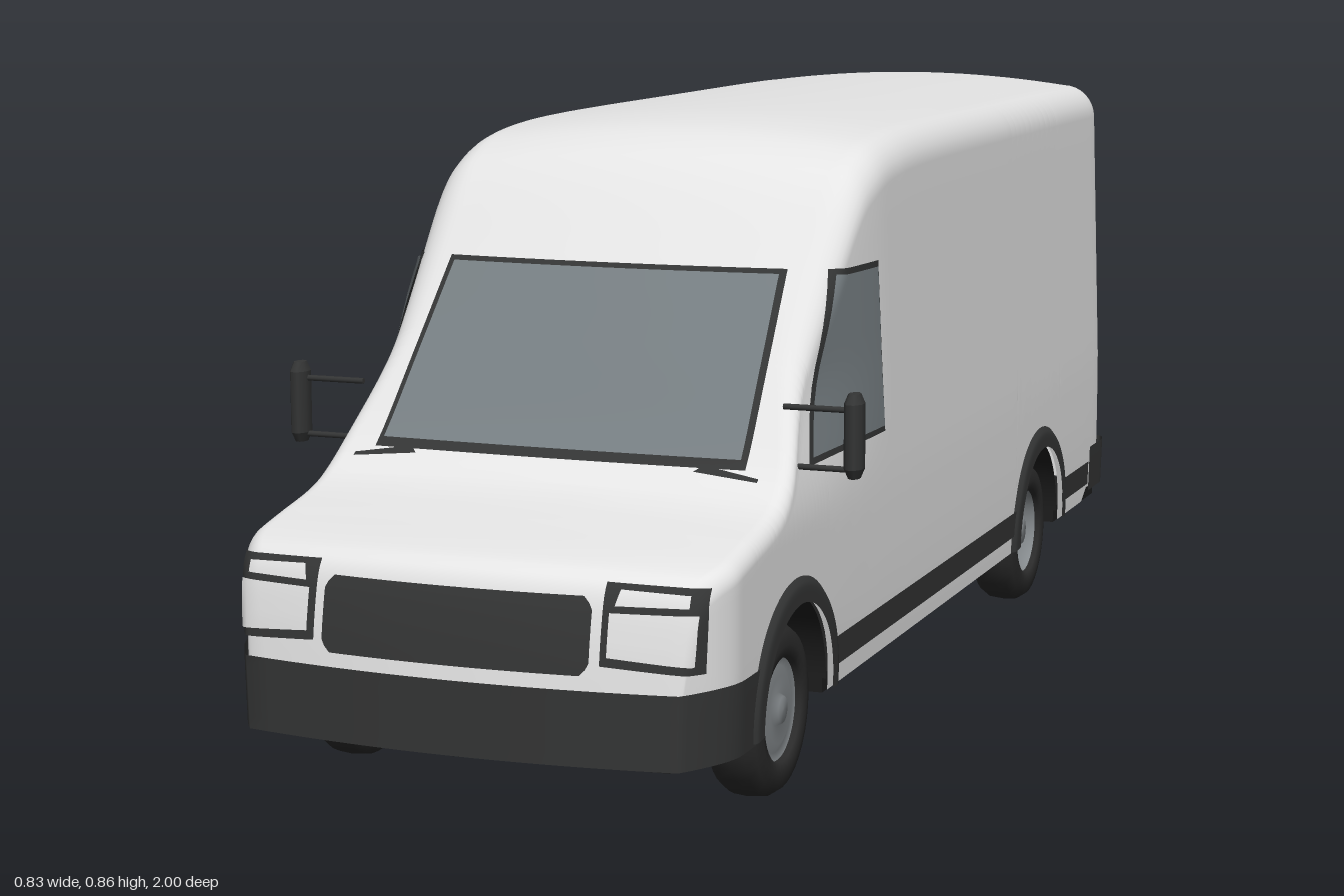
import * as THREE from 'three';

const { lerp, smoothstep: smooth } = THREE.MathUtils;
const mat = (name, color, side = THREE.FrontSide) => {
  const m = new THREE.MeshStandardMaterial({ color, side });
  m.name = name;
  return m;
};
const paint = mat('whitePaint', 0xe4e4e4, THREE.DoubleSide);
const trim = mat('darkTrim', 0x343535, THREE.DoubleSide);
const under = mat('underbodyBlack', 0x1d1d1d, THREE.DoubleSide);
const glass = mat('greyGlass', 0x767e82, THREE.DoubleSide);
const rubber = mat('tyreRubber', 0x2a2a2a);
const steel = mat('wheelSteel', 0x868b8e);
const red = mat('lampRed', 0x9c1a1a);

const WHEELS = [0.67, -0.555], ARCH_Y = 0.125, ARCH_R = 0.14;
const TAIL = -0.985, NOSE = 0.995;

// Centre line of roof, windscreen, bonnet and nose as (z, y)
const profile = new THREE.SplineCurve([
  [-0.985, 0.835], [-0.975, 0.848], [-0.95, 0.855], [-0.5, 0.856], [0, 0.855], [0.2, 0.845],
  [0.3, 0.82], [0.36, 0.78], [0.45, 0.68], [0.55, 0.56], [0.64, 0.452], [0.69, 0.41], [0.74, 0.39],
  [0.82, 0.374], [0.9, 0.36], [0.945, 0.348], [0.97, 0.325], [0.985, 0.27], [0.995, 0.2],
].map(p => new THREE.Vector2(...p))).getPoints(500);

function top(z) {
  let i = 1;
  while (i < profile.length - 1 && profile[i].x < z) i++;
  const a = profile[i - 1], b = profile[i];
  return lerp(a.y, b.y, THREE.MathUtils.clamp((z - a.x) / (b.x - a.x), 0, 1));
}

// Half width of the flank at a height and station
function flank(y, z) {
  let w = 0.338 - 0.035 * Math.max(0, y - 0.35) - 0.03 * Math.max(0, 0.2 - y);
  w -= 0.03 * smooth(z, 0.25, 0.62) * smooth(y, 0.36, 0.55);
  if (z > 0.88) w -= 0.047 * ((z - 0.88) / 0.12) ** 2;
  if (z < -0.95) w -= 0.008 * ((-0.95 - z) / 0.035) ** 2;
  return w;
}

// Cross-section values: crowned roof with rounded shoulders
function section(z) {
  const t = top(z), k = smooth(t, 0.4, 0.75);
  const crown = 0.008 + 0.01 * k, r = 0.025 + 0.03 * k;
  const yc = t - crown - r;
  return { t, crown, r, yc, w: flank(yc, z) };
}
function sideX(y, z) {
  const s = section(z);
  if (y <= s.yc) return flank(y, z);
  return s.w - s.r + Math.sqrt(Math.max(0, s.r ** 2 - (y - s.yc) ** 2));
}
function inside(x, y, z) {
  const s = section(z), inner = s.w - s.r;
  if (y <= s.yc) return x <= flank(y, z);
  return x < inner ? y <= s.t - s.crown * (x / inner) ** 2 : x <= sideX(y, z) && y <= s.yc + s.r;
}
// Bow the nose in plan
const point = (x, y, z) => new THREE.Vector3(x, y, z - 0.3 * x * x * smooth(z, 0.8, 1));
const onSide = (s, y, z) => point(s * sideX(y, z), y, z);
function onFront(x, y) {
  let a = 0.2, b = NOSE;
  for (let i = 0; i < 24; i++) {
    const m = (a + b) / 2;
    if (inside(Math.abs(x), y, m)) a = m; else b = m;
  }
  return point(x, y, a);
}

// Grid surface from f(u, v), pushed out along its own normals
function sheet(f, nu, nv, offset = 0) {
  const pos = [], idx = [];
  for (let j = 0; j <= nv; j++) for (let i = 0; i <= nu; i++) pos.push(...f(i / nu, j / nv).toArray());
  for (let j = 0; j < nv; j++) for (let i = 0; i < nu; i++) {
    const a = j * (nu + 1) + i, c = a + nu + 1;
    idx.push(a, a + 1, c + 1, a, c + 1, c);
  }
  const g = new THREE.BufferGeometry();
  g.setAttribute('position', new THREE.Float32BufferAttribute(pos, 3));
  g.setIndex(idx);
  g.computeVertexNormals();
  const p = g.attributes.position, n = g.attributes.normal;
  for (let i = 0; i < p.count && offset; i++)
    p.setXYZ(i, p.getX(i) + offset * n.getX(i), p.getY(i) + offset * n.getY(i), p.getZ(i) + offset * n.getZ(i));
  return g;
}
// Bilinear quad: bottom start, bottom end, top end, top start
const quad = (a, b, c, d) => (u, v) => [0, 1].map(i => lerp(lerp(a[i], b[i], u), lerp(d[i], c[i], u), v));
const frontSheet = (q, off, s = 1) => sheet((u, v) => {
  const [x, y] = q(s > 0 ? u : 1 - u, v);
  return onFront(s * x, y);
}, 24, 12, off);
const sideSheet = (q, off, s, nu = 16, nv = 10) => sheet((u, v) => {
  const [z, y] = q(s > 0 ? u : 1 - u, v);
  return onSide(s, y, z);
}, nu, nv, off);

function bottom(z) {
  let b = z < -0.87 ? 0.13 : 0.11;
  for (const w of WHEELS) {
    const d = ARCH_R ** 2 - (z - w) ** 2;
    if (d > 0) b = Math.max(b, ARCH_Y + Math.sqrt(d));
  }
  return b;
}
function ring(z) {
  const s = section(z), half = [], b = bottom(z), inner = s.w - s.r;
  for (let i = 0; i < 14; i++) { const y = lerp(b, s.yc, i / 14); half.push([flank(y, z), y]); }
  for (let i = 0; i <= 8; i++) {
    const a = i / 8 * Math.PI / 2;
    half.push([inner + s.r * Math.cos(a), s.yc + s.r * Math.sin(a)]);
  }
  for (let i = 9; i >= 0; i--) { const x = inner * i / 10; half.push([x, s.t - s.crown * (x / inner) ** 2]); }
  return [...half, ...half.slice(0, -1).reverse().map(([x, y]) => [-x, y])];
}

export function createModel() {
  const van = new THREE.Group();
  van.name = 'deliveryVan';
  const add = (name, geo, m, x = 0, y = 0, z = 0) => {
    const mesh = new THREE.Mesh(geo, m);
    mesh.name = name;
    mesh.position.set(x, y, z);
    van.add(mesh);
    return mesh;
  };

  // Body shell, with stations packed around the arches and nose
  const zs = [];
  for (let z = TAIL; z < 0.2; z += 0.03) zs.push(z);
  for (let z = 0.2; z < 0.94; z += 0.012) zs.push(z);
  for (let z = 0.94; z <= NOSE + 1e-6; z += 0.0025) zs.push(z);
  zs.push(-0.98, -0.975, -0.965);
  for (const w of WHEELS) {
    for (let i = 0; i <= 24; i++) zs.push(w + ARCH_R * Math.cos(i * Math.PI / 24));
    zs.push(w - ARCH_R - 0.0004, w + ARCH_R + 0.0004);
  }
  zs.sort((a, b) => a - b);
  const rings = zs.map(ring), n = rings[0].length - 1, m = zs.length - 1;
  add('bodyShell', sheet((u, v) => {
    const i = Math.round(v * m), p = rings[i][n - Math.round(u * n)];
    return point(p[0], p[1], zs[i]);
  }, n, m).scale(1, 1, 1), paint);
  const rear = new THREE.Shape(rings[0].map(p => new THREE.Vector2(...p)));
  add('rearDoors', new THREE.ShapeGeometry(rear).rotateY(Math.PI), paint, 0, 0, TAIL);

  // Wrap-around bumpers: side, end, side
  const bumper = (z0, z1, lo, hi) => (u, v) => {
    const y = lerp(lo, hi, v), t = u * 3, w = flank(y, z1), d = z1 > 0 ? 1 : -1;
    if (t < 1) return point(-d * flank(y, lerp(z0, z1, t)), y, lerp(z0, z1, t));
    if (t < 2) return point(d * lerp(-w, w, t - 1), y, z1);
    return point(d * flank(y, lerp(z1, z0, t - 2)), y, lerp(z1, z0, t - 2));
  };
  add('frontBumper', sheet(bumper(0.81, NOSE, 0.11, 0.206), 60, 6, 0.005), trim);
  add('rearBumper', sheet(bumper(-0.87, TAIL, 0.13, 0.208), 60, 6, 0.01), trim);
  add('rearBumperStep', new THREE.BoxGeometry(0.64, 0.012, 0.03), trim, 0, 0.2, -0.979);

  // Windscreen, grille and wipers
  add('windscreenFrame', frontSheet(quad([-0.267, 0.425], [0.267, 0.425], [0.25, 0.664], [-0.25, 0.664]), 0.004), trim);
  add('windscreen', frontSheet(quad([-0.258, 0.435], [0.258, 0.435], [0.241, 0.656], [-0.241, 0.656]), 0.007), glass);
  add('grille', frontSheet((u, v) => {
    const w = 0.182 - Math.max(0, 0.012 - 0.095 * Math.min(v, 1 - v));
    return [lerp(-w, w, u), lerp(0.223, 0.318, v)];
  }, 0.005), trim);

  // Underbody with wheel cut-outs
  const edge = [[0, 0.985], [0.28, 0.962], [0.322, 0.9]];
  for (const w of WHEELS) edge.push([0.328, w + ARCH_R], [0.24, w + ARCH_R], [0.24, w - ARCH_R], [0.328, w - ARCH_R]);
  edge.push([0.328, -0.975], [0, -0.985]);
  const plan = [...edge, ...edge.slice(1, -1).reverse().map(([x, z]) => [-x, z])];
  const floor = new THREE.ExtrudeGeometry(new THREE.Shape(plan.map(p => new THREE.Vector2(...p))), { depth: 0.025, bevelEnabled: false });
  add('underbody', floor.rotateX(Math.PI / 2), under, 0, 0.13, 0);

  for (const s of [1, -1]) {
    const side = s > 0 ? 'left' : 'right';

    // Cab window
    add(side + 'WindowFrame', sideSheet(quad([0.592, 0.424], [0.29, 0.424], [0.298, 0.665], [0.433, 0.665]), 0.003, s), trim);
    add(side + 'Window', sideSheet(quad([0.578, 0.433], [0.299, 0.433], [0.306, 0.657], [0.43, 0.657]), 0.006, s), glass);

    // Sill strips
    for (const [a, b] of [[0.52, -0.41], [-0.7, -0.88]])
      add(side + 'SillStrip', sideSheet(quad([a, 0.14], [b, 0.14], [b, 0.18], [a, 0.18]), 0.006, s, 8, 2), trim);

    // Headlamp: dark surround, main lens, upper strip
    add(side + 'HeadlampSurround', frontSheet(quad([0.195, 0.236], [0.315, 0.228], [0.318, 0.33], [0.195, 0.334]), 0.004, s), trim);
    add(side + 'HeadlampLens', frontSheet(quad([0.204, 0.247], [0.305, 0.239], [0.31, 0.3], [0.204, 0.3]), 0.007, s), paint);
    add(side + 'HeadlampStrip', frontSheet(quad([0.21, 0.308], [0.3, 0.308], [0.3, 0.322], [0.215, 0.326]), 0.007, s), paint);
    add(side + 'Wiper', frontSheet(quad([0.2, 0.418], [0.29, 0.41], [0.29, 0.414], [0.21, 0.426]), 0.008, s), trim);

    // Tail lamps
    for (const [lo, hi] of [[0.43, 0.49], [0.29, 0.415], [0.225, 0.275]])
      add(side + 'TailLamp', new THREE.BoxGeometry(0.026, hi - lo, 0.008), red, s * 0.312, (lo + hi) / 2, TAIL - 0.001);

    // Door mirror on two arms
    const head = new THREE.CylinderGeometry(0.5, 0.5, 1, 8).rotateY(Math.PI / 8).scale(0.026, 0.085, 0.042);
    add(side + 'Mirror', head, trim, s * 0.402, 0.475, 0.622);
    for (const d of [1, -1])
      add(side + 'MirrorCap', new THREE.CylinderGeometry(d > 0 ? 0.3 : 0.5, d > 0 ? 0.5 : 0.3, 1, 8)
        .rotateY(Math.PI / 8).scale(0.026, 0.013, 0.042), trim, s * 0.402, 0.475 + d * 0.049, 0.622);
    for (const y of [0.43, 0.508])
      add(side + 'MirrorArm', new THREE.CylinderGeometry(0.004, 0.004, 0.09, 8).rotateZ(Math.PI / 2), trim, s * 0.35, y, 0.622);

    WHEELS.forEach((w, k) => {
      const name = side + (k ? 'Rear' : 'Front');
      // Flared arch trim and dark wheel well
      const flare = (u, v) => {
        const a = lerp(-0.07, Math.PI + 0.07, s > 0 ? u : 1 - u), r = lerp(0.168, 0.134, v);
        const z = w - r * Math.cos(a), y = ARCH_Y + r * Math.sin(a);
        const p = onSide(s, y, z);
        p.x += s * (0.003 + 0.007 * Math.sin(Math.min(1, v * 3) * Math.PI / 2));
        return p;
      };
      add(name + 'ArchFlare', sheet(flare, 40, 5), trim);
      add(name + 'WheelWell', new THREE.CylinderGeometry(ARCH_R, ARCH_R, 0.095, 32, 1, true, 0, Math.PI)
        .rotateZ(Math.PI / 2), under, s * 0.286, ARCH_Y, w);
      add(name + 'WellWall', new THREE.CircleGeometry(ARCH_R, 32, 0, Math.PI).rotateY(Math.PI / 2), under, s * 0.24, ARCH_Y, w);

      // Wheel
      const lathe = pts => new THREE.LatheGeometry(pts.map(p => new THREE.Vector2(...p)), 36).rotateZ(-s * Math.PI / 2);
      add(name + 'Tyre', lathe([[0, -0.037], [0.085, -0.037], [0.105, -0.033], [0.114, -0.02], [0.116, 0],
        [0.114, 0.02], [0.105, 0.033], [0.085, 0.0375], [0.07, 0.034], [0.066, 0.01]]), rubber, s * 0.288, 0.116, w);
      add(name + 'Rim', lathe(k ? [[0.068, 0.027], [0.056, 0.002], [0.026, 0.002], [0.022, 0.024], [0, 0.025]]
        : [[0.068, 0.027], [0.058, 0.024], [0.045, 0.03], [0.022, 0.026], [0.018, 0.034], [0, 0.035]]), steel, s * 0.288, 0.116, w);
    });
  }
  for (const w of WHEELS)
    add('axle', new THREE.CylinderGeometry(0.018, 0.018, 0.52, 12).rotateZ(Math.PI / 2), under, 0, 0.116, w);
  add('highBrakeLamp', new THREE.BoxGeometry(0.12, 0.01, 0.008), red, 0, 0.805, TAIL - 0.001);
  return van;
}
